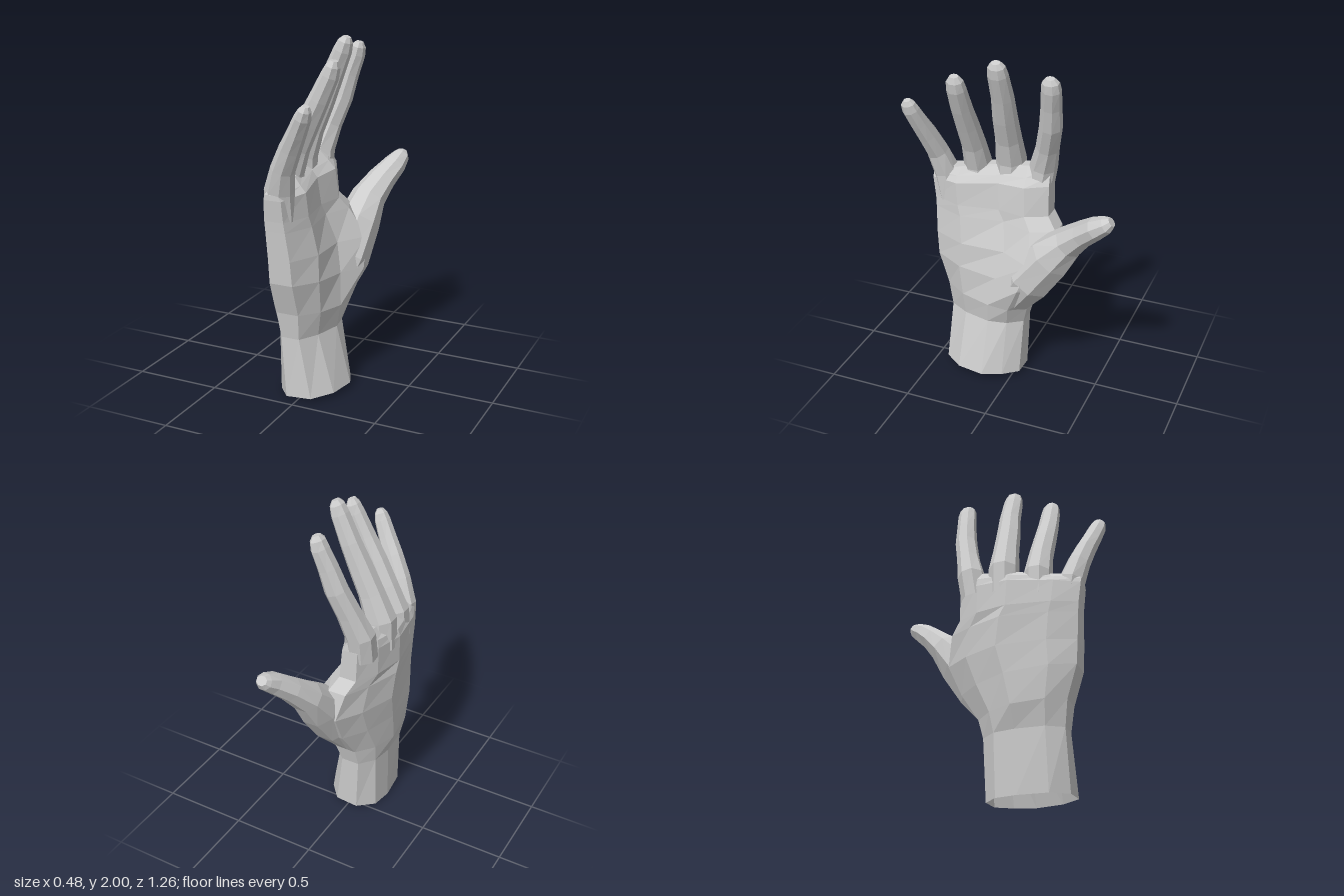
import * as THREE from 'three';

const material = new THREE.MeshStandardMaterial({
  color: 0xcccccc, flatShading: true, side: THREE.DoubleSide,
});

// Skin a list of equal-length rings (counter-clockwise about the path) and close the far end.
function loft(name, rings) {
  const n = rings[0].length, pos = [], idx = [];
  rings.forEach(r => r.forEach(p => pos.push(p.x, p.y, p.z)));
  for (let i = 0; i < rings.length - 1; i++) {
    for (let j = 0; j < n; j++) {
      const a = i * n + j, b = i * n + (j + 1) % n;
      idx.push(a, b, b + n, a, b + n, a + n);
    }
  }
  const last = rings[rings.length - 1], start = (rings.length - 1) * n;
  const c = last.reduce((s, p) => s.add(p), new THREE.Vector3()).divideScalar(n);
  pos.push(c.x, c.y, c.z);
  for (let j = 0; j < n; j++) idx.push(rings.length * n, start + j, start + (j + 1) % n);
  const g = new THREE.BufferGeometry();
  g.setAttribute('position', new THREE.Float32BufferAttribute(pos, 3));
  g.setIndex(idx);
  g.computeVertexNormals();
  const mesh = new THREE.Mesh(g, material);
  mesh.name = name;
  return mesh;
}

// Digit along stations [x, y, z, half width, half thickness]; across is the width direction.
function digit(name, stations, across, sides = 8) {
  const pts = stations.map(s => new THREE.Vector3(s[0], s[1], s[2]));
  const rings = stations.map((s, i) => {
    const t = pts[Math.min(i + 1, pts.length - 1)].clone().sub(pts[Math.max(i - 1, 0)]).normalize();
    const w = across.clone().addScaledVector(t, -across.dot(t)).normalize();
    const d = t.clone().cross(w);
    return Array.from({ length: sides }, (_, j) => {
      const a = (j + 0.5) / sides * Math.PI * 2;
      return pts[i].clone()
        .addScaledVector(w, Math.cos(a) * s[3] * 1.06)
        .addScaledVector(d, Math.sin(a) * s[4] * 1.06);
    });
  });
  return loft(name, rings);
}

// Palm and wrist ring: heights at little-finger and thumb edge, z of both edges,
// then x of back and palm faces at the little-finger side, middle and thumb side.
function palmRing([yP, yT, zP, zT, b1, b2, b3, p1, p2, p3], row) {
  const L = THREE.MathUtils.lerp;
  const outline = [
    [0, L(b1, p1, 0.72)], [0.24, p1], [0.58, p2], [0.82, p3], [1, L(b3, p3, 0.75)],
    [1, L(b3, p3, 0.3)], [0.82, b3], [0.56, b2], [0.2, b1], [0, L(b1, p1, 0.25)],
  ];
  return outline.map(([f, x]) => {
    const tilt = row === 0 ? (x + 0.17) * 0.08 : 0;
    return new THREE.Vector3(x, L(yP, yT, f) + tilt, L(zP, zT, f));
  });
}

export function createModel() {
  const hand = new THREE.Group();
  hand.name = 'hand';

  // Open at the wrist; the thumb edge widens into the web, the top bevels between the fingers
  hand.add(loft('palmAndWrist', [
    [0.00, 0.00, 0.43, -0.04, -0.15, -0.17, -0.15, 0.17, 0.20, 0.15],
    [0.36, 0.36, 0.42, -0.05, -0.16, -0.17, -0.15, 0.07, 0.11, 0.09],
    [0.51, 0.47, 0.44, -0.08, -0.19, -0.21, -0.16, 0.09, 0.13, 0.13],
    [0.70, 0.64, 0.50, -0.19, -0.20, -0.22, -0.15, 0.09, 0.11, 0.18],
    [0.84, 0.82, 0.51, -0.27, -0.20, -0.23, -0.15, 0.08, 0.07, 0.17],
    [1.00, 0.99, 0.52, -0.235, -0.20, -0.24, -0.17, 0.05, 0.01, 0.07],
    [1.06, 1.06, 0.525, -0.175, -0.20, -0.24, -0.20, 0.04, 0.00, 0.03],
    [1.18, 1.24, 0.54, -0.17, -0.19, -0.235, -0.20, 0.03, -0.02, 0.01],
    [1.21, 1.29, 0.54, -0.165, -0.17, -0.22, -0.19, 0.00, -0.05, -0.03],
    [1.25, 1.345, 0.52, -0.15, -0.12, -0.16, -0.15, -0.04, -0.10, -0.08],
  ].map(palmRing)));

  // Fingers, each rooted inside the palm
  const z = new THREE.Vector3(0, 0, 1);
  hand.add(digit('indexFinger', [
    [-0.12, 1.18, -0.085, 0.075, 0.085], [-0.12, 1.33, -0.11, 0.075, 0.085],
    [-0.075, 1.47, -0.148, 0.063, 0.07], [-0.02, 1.62, -0.185, 0.061, 0.065],
    [0.02, 1.75, -0.20, 0.055, 0.055], [0.06, 1.86, -0.213, 0.053, 0.047],
    [0.073, 1.905, -0.213, 0.047, 0.038], [0.08, 1.93, -0.213, 0.025, 0.02],
  ], z));
  hand.add(digit('middleFinger', [
    [-0.14, 1.16, 0.095, 0.08, 0.09], [-0.135, 1.33, 0.093, 0.083, 0.088],
    [-0.08, 1.48, 0.087, 0.071, 0.072], [-0.015, 1.63, 0.08, 0.066, 0.066],
    [0.042, 1.77, 0.07, 0.06, 0.057], [0.105, 1.92, 0.07, 0.055, 0.048],
    [0.123, 1.97, 0.07, 0.047, 0.038], [0.132, 1.995, 0.07, 0.025, 0.02],
  ], z));
  hand.add(digit('ringFinger', [
    [-0.12, 1.12, 0.29, 0.075, 0.09], [-0.115, 1.28, 0.29, 0.076, 0.085],
    [-0.06, 1.42, 0.29, 0.067, 0.069], [0.008, 1.56, 0.295, 0.063, 0.063],
    [0.075, 1.69, 0.298, 0.058, 0.055], [0.137, 1.82, 0.297, 0.053, 0.047],
    [0.155, 1.87, 0.297, 0.046, 0.037], [0.163, 1.90, 0.297, 0.025, 0.02],
  ], z));
  hand.add(digit('littleFinger', [
    [-0.08, 1.06, 0.45, 0.06, 0.08], [-0.075, 1.22, 0.472, 0.07, 0.08],
    [-0.035, 1.35, 0.505, 0.062, 0.064], [0.025, 1.47, 0.535, 0.056, 0.058],
    [0.075, 1.56, 0.56, 0.052, 0.05], [0.122, 1.65, 0.583, 0.048, 0.043],
    [0.138, 1.69, 0.59, 0.04, 0.033], [0.145, 1.713, 0.592, 0.02, 0.018],
  ], z));

  // Thumb with its fleshy base
  hand.add(digit('thumb', [
    [0.01, 0.48, 0.03, 0.09, 0.09], [0.05, 0.69, -0.10, 0.135, 0.13],
    [0.07, 0.87, -0.235, 0.125, 0.12], [0.085, 0.995, -0.345, 0.087, 0.10],
    [0.13, 1.09, -0.44, 0.068, 0.082], [0.178, 1.165, -0.525, 0.06, 0.066],
    [0.192, 1.205, -0.585, 0.046, 0.05], [0.19, 1.225, -0.61, 0.027, 0.03],
  ], new THREE.Vector3(0, 0.7, 0.7)));

  return hand;
}
